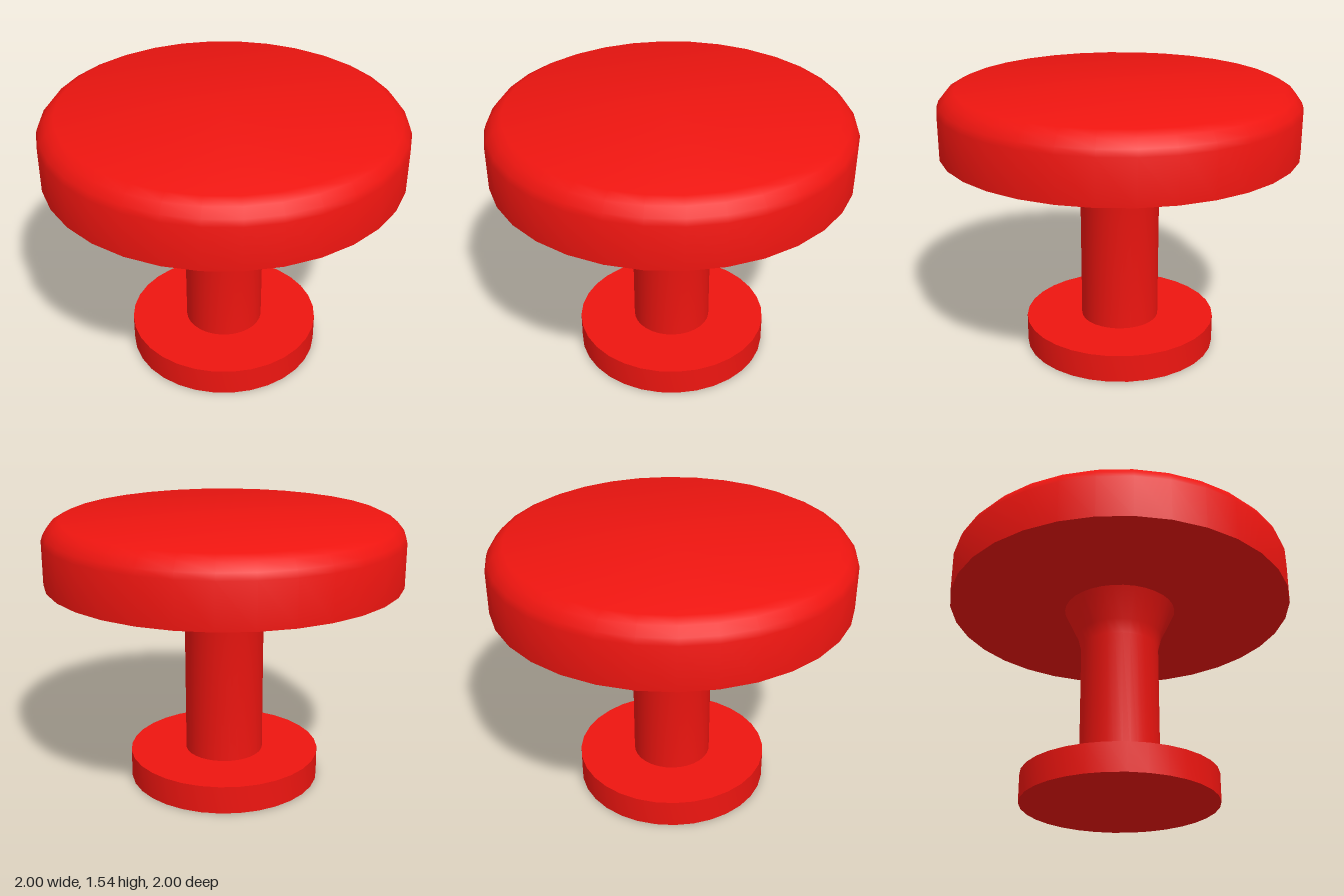
import * as THREE from 'three';
import { toCreasedNormals } from 'three/addons/utils/BufferGeometryUtils.js';

const SEGMENTS = 32;

export function createModel() {
  const group = new THREE.Group();
  group.name = 'knob';
  const material = new THREE.MeshStandardMaterial({ color: 0xee1510 });

  // Turned part from a [radius, height] profile, bottom to top
  function turned(name, profile) {
    const points = profile.map(([r, y]) => new THREE.Vector2(r, y));
    const geometry = toCreasedNormals(new THREE.LatheGeometry(points, SEGMENTS), 0.75);
    const mesh = new THREE.Mesh(geometry, material);
    mesh.name = name;
    group.add(mesh);
  }

  // Flat mounting disc
  turned('base', [[0, 0], [0.55, 0], [0.55, 0.16], [0, 0.16]]);

  // Straight stem flaring out under the head
  turned('stem', [[0.225, 0.16], [0.225, 0.94], [0.245, 1.02], [0.325, 1.19]]);

  // Wide head with a rounded upper rim
  turned('head', [
    [0, 1.19], [1, 1.19], [1, 1.435], [0.987, 1.47], [0.95, 1.515], [0.9, 1.54], [0, 1.54],
  ]);

  return group;
}
